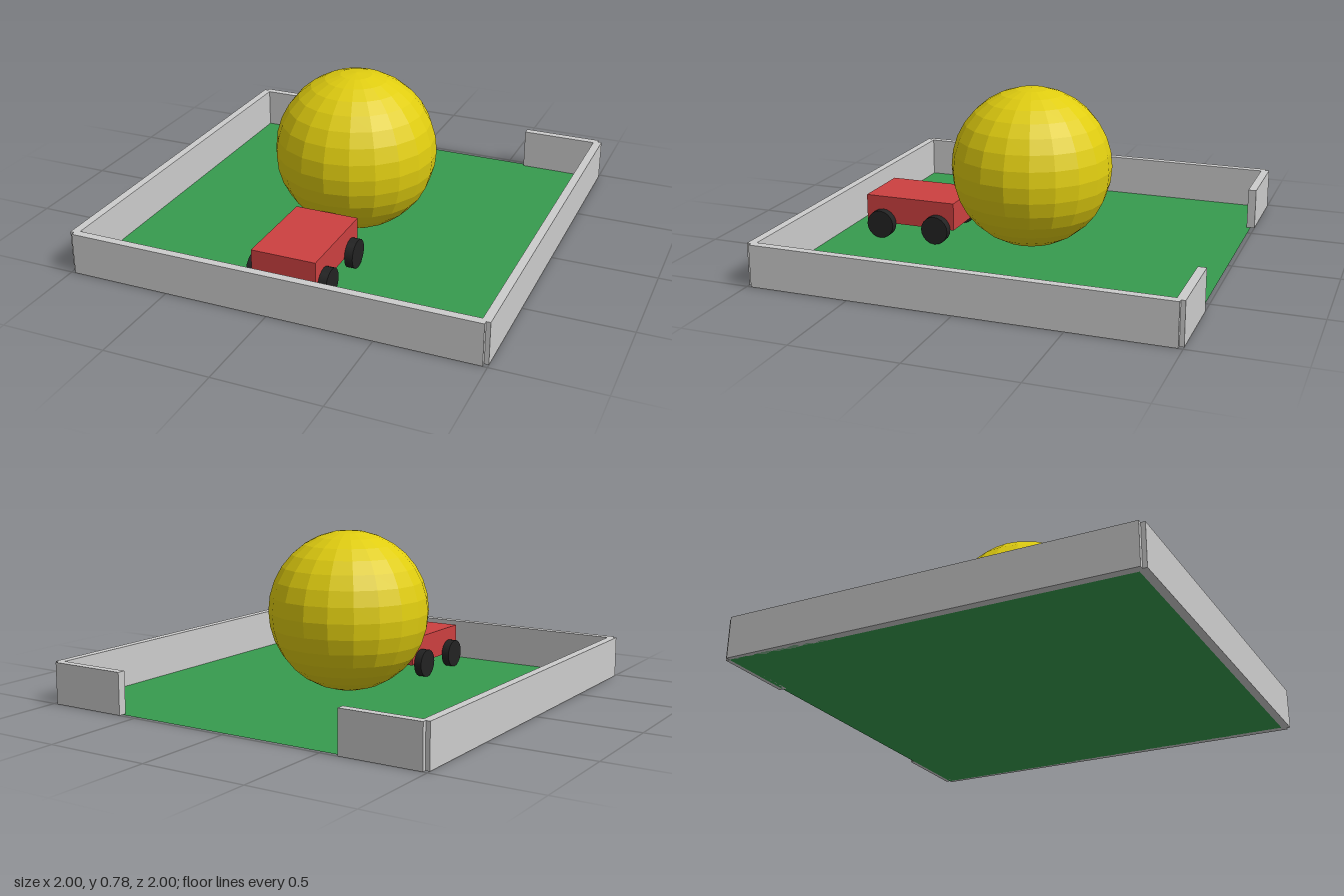
import * as THREE from 'three';

const mat = (name, color, opts = {}) => {
  const m = new THREE.MeshStandardMaterial({ color, ...opts });
  m.name = name;
  return m;
};

export function createModel() {
  const root = new THREE.Group();
  root.name = 'arena';
  const grey = mat('wall grey', 0xcccccc);
  const green = mat('floor green', 0x379b4e, { side: THREE.DoubleSide });
  const red = mat('body red', 0xcc4040);
  const black = mat('tyre black', 0x222222);
  const yellow = mat('ball yellow', 0xe0cd10, { flatShading: true });

  const add = (parent, name, geometry, material, x, y, z) => {
    const mesh = new THREE.Mesh(geometry, material);
    mesh.name = name;
    mesh.position.set(x, y, z);
    parent.add(mesh);
    return mesh;
  };
  const box = (w, h, d) => new THREE.BoxGeometry(w, h, d);

  // Floor sheet
  add(root, 'floor', new THREE.PlaneGeometry(1.96, 1.96).rotateX(-Math.PI / 2), green, 0, 0, 0);

  // Walls, with an opening in the middle of the back side
  add(root, 'frontWall', box(1.96, 0.2, 0.04), grey, 0, 0.1, 0.98);
  for (const [side, s] of [['left', 1], ['right', -1]]) {
    add(root, side + 'Wall', box(0.04, 0.2, 1.96), grey, s * 0.98, 0.1, 0);
    add(root, side + 'BackWall', box(0.392, 0.2, 0.04), grey, s * 0.784, 0.1, -0.98);
  }

  // Large faceted ball
  add(root, 'ball', new THREE.SphereGeometry(0.392, 20, 16), yellow, 0, 0.392, 0);

  // Small car: a box on four wheels
  const car = new THREE.Group();
  car.name = 'car';
  car.position.z = 0.588;
  root.add(car);
  add(car, 'carBody', box(0.314, 0.137, 0.47), red, 0, 0.1375, 0);
  const wheel = new THREE.CylinderGeometry(0.07, 0.07, 0.04, 20).rotateZ(Math.PI / 2);
  for (const [side, sx] of [['Left', 1], ['Right', -1]])
    for (const [end, sz] of [['front', 1], ['back', -1]])
      add(car, end + side + 'Wheel', wheel, black, sx * 0.177, 0.07, sz * 0.147);

  return root;
}
